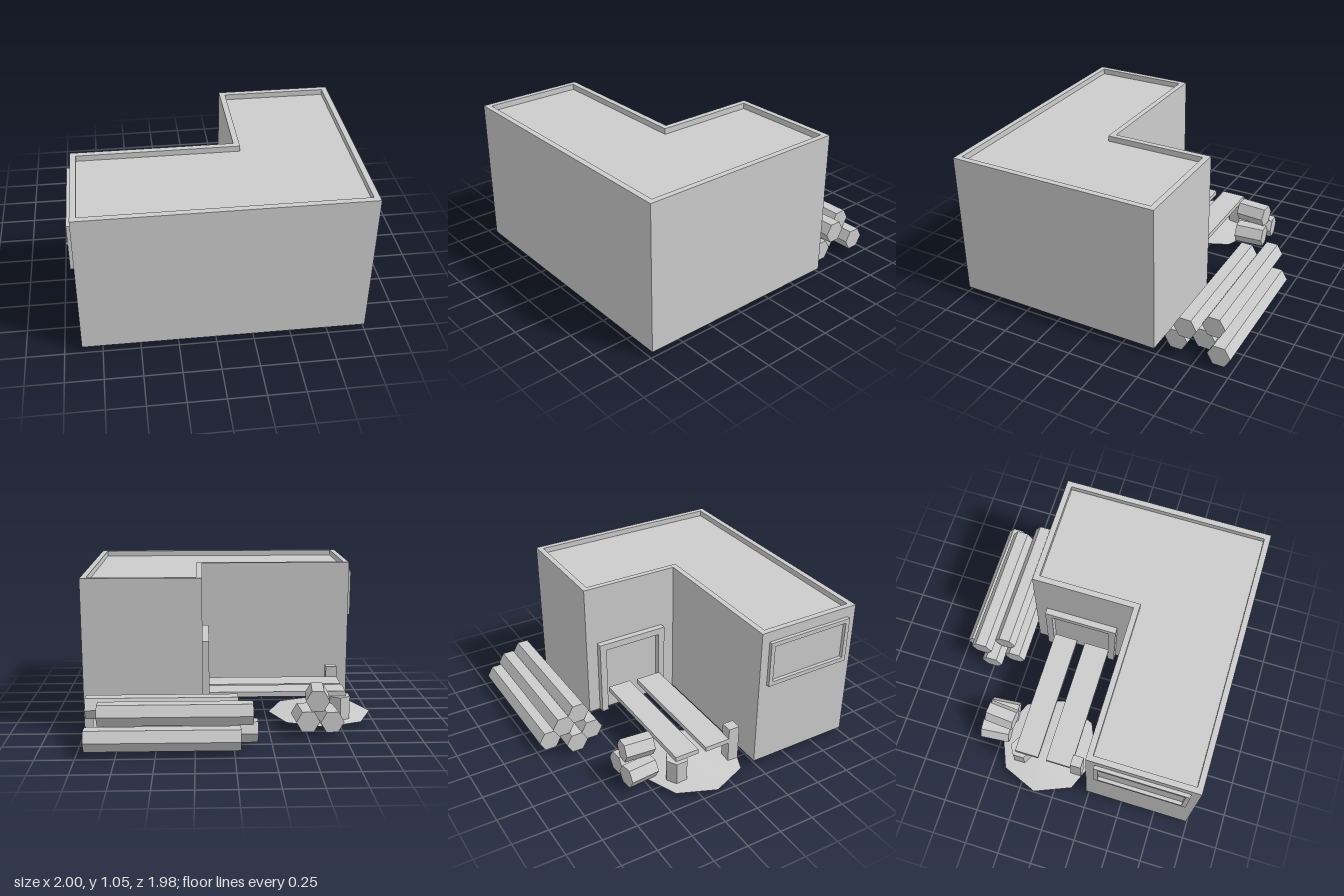
import * as THREE from 'three';

const grey = new THREE.MeshStandardMaterial({ color: 0xcccccc, flatShading: true });
const thin = new THREE.MeshStandardMaterial({ color: 0xcccccc, flatShading: true, side: THREE.DoubleSide });
const smooth = new THREE.MeshStandardMaterial({ color: 0xcccccc });

function add(parent, name, geometry, material = grey) {
  const mesh = new THREE.Mesh(geometry, material);
  mesh.name = name;
  parent.add(mesh);
  return mesh;
}

// box given by its lower and upper limits
function box(parent, name, [x0, y0, z0], [x1, y1, z1]) {
  const mesh = add(parent, name, new THREE.BoxGeometry(x1 - x0, y1 - y0, z1 - z0));
  mesh.position.set((x0 + x1) / 2, (y0 + y1) / 2, (z0 + z1) / 2);
  return mesh;
}

// L-shaped floor plan in x and z, shrunk by an inset
function plan(d) {
  return [[-0.885 + d, 0.23 + d], [0.2 + d, 0.23 + d], [0.2 + d, -0.485 + d],
    [1 - d, -0.485 + d], [1 - d, 0.99 - d], [-0.885 + d, 0.99 - d]].map(p => new THREE.Vector2(...p));
}

// upright wall strip around a closed outline
function wallBand(points, y0, y1) {
  const positions = [];
  points.forEach((a, i) => {
    const b = points[(i + 1) % points.length];
    const quad = [[a.x, y0, a.y], [a.x, y1, a.y], [b.x, y1, b.y], [b.x, y0, b.y]];
    for (const k of [0, 1, 2, 0, 2, 3]) positions.push(...quad[k]);
  });
  const g = new THREE.BufferGeometry();
  g.setAttribute('position', new THREE.Float32BufferAttribute(positions, 3));
  g.computeVertexNormals();
  return g;
}

// frame lying on a wall that faces -x, with or without a sill
function frame(parent, name, x0, x1, y0, y1, z0, z1, bar, sill) {
  const group = new THREE.Group();
  group.name = name;
  parent.add(group);
  box(group, 'post', [x0, y0, z0], [x1, y1, z0 + bar]);
  box(group, 'post', [x0, y0, z1 - bar], [x1, y1, z1]);
  box(group, 'lintel', [x0, y1 - bar, z0 + bar], [x1, y1, z1 - bar]);
  if (sill) box(group, 'sill', [x0, y0, z0 + bar], [x1, y0 + bar, z1 - bar]);
}

// six-sided log along z, resting on a flat side
function log(parent, name, length, x, y, z, yaw) {
  const g = new THREE.CylinderGeometry(0.08, 0.08, length, 6);
  g.rotateY(Math.PI / 6 + Math.PI / 3).rotateX(Math.PI / 2);
  const mesh = add(parent, name, g);
  // turn so that two corners point sideways
  g.computeBoundingBox();
  if (g.boundingBox.max.x < 0.075) g.rotateZ(Math.PI / 6);
  mesh.position.set(x, y, z);
  mesh.rotation.y = yaw;
}

export function createModel() {
  const model = new THREE.Group();
  model.name = 'lShapedHut';

  // walls, open underneath, with a raised rim around the flat roof
  add(model, 'walls', wallBand(plan(0), 0.04, 1.015), thin);
  const rim = new THREE.Shape(plan(0));
  rim.holes.push(new THREE.Path(plan(0.04)));
  const rimGeometry = new THREE.ExtrudeGeometry(rim, { depth: 0.04, bevelEnabled: false });
  add(model, 'roofRim', rimGeometry.rotateX(Math.PI / 2)).position.y = 1.055;
  const roof = new THREE.ShapeGeometry(new THREE.Shape(plan(0.04))).rotateX(Math.PI / 2);
  add(model, 'roof', roof, thin).position.y = 1.015;

  // door and window surrounds
  frame(model, 'doorFrame', 0.155, 0.2, 0.04, 0.61, -0.4, 0.13, 0.05, false);
  frame(model, 'windowFrame', -0.91, -0.885, 0.65, 0.98, 0.29, 0.93, 0.03, true);

  // plank walkway with its two supports
  box(model, 'plank', [-0.79, 0.2, -0.34], [0.16, 0.235, -0.165]);
  box(model, 'plank', [-0.79, 0.19, -0.105], [0.16, 0.225, 0.085]);
  box(model, 'squarePost', [-0.79, 0.035, 0.08], [-0.71, 0.3, 0.16]);
  add(model, 'stumpPost', new THREE.CylinderGeometry(0.08, 0.08, 0.2, 6)).position.set(-0.75, 0.1, -0.31);

  // low mound of earth
  const mound = new THREE.ConeGeometry(0.365, 0.04, 8);
  add(model, 'mound', mound, smooth).position.set(-0.635, 0.05, -0.14);

  // stack of long logs: [middle x, y, z]
  const stack = new THREE.Group();
  stack.name = 'longLogs';
  model.add(stack);
  for (const [x, y, z] of [[0.425, 0.1, -0.6], [0.34, 0.1, -0.755], [0.455, 0.1, -0.91],
    [0.465, 0.243, -0.68], [0.375, 0.243, -0.835]]) {
    log(stack, 'longLog', 0.99, x, y, z, Math.PI / 2);
  }

  // heap of short logs: [x, y, z, yaw]
  const heap = new THREE.Group();
  heap.name = 'shortLogs';
  model.add(heap);
  for (const [x, y, z, yaw] of [[-0.65, 0.11, -0.54, 0.09], [-0.49, 0.11, -0.53, 0.08],
    [-0.57, 0.248, -0.515, -0.08]]) {
    log(heap, 'shortLog', 0.21, x, y, z, yaw);
  }
  return model;
}
